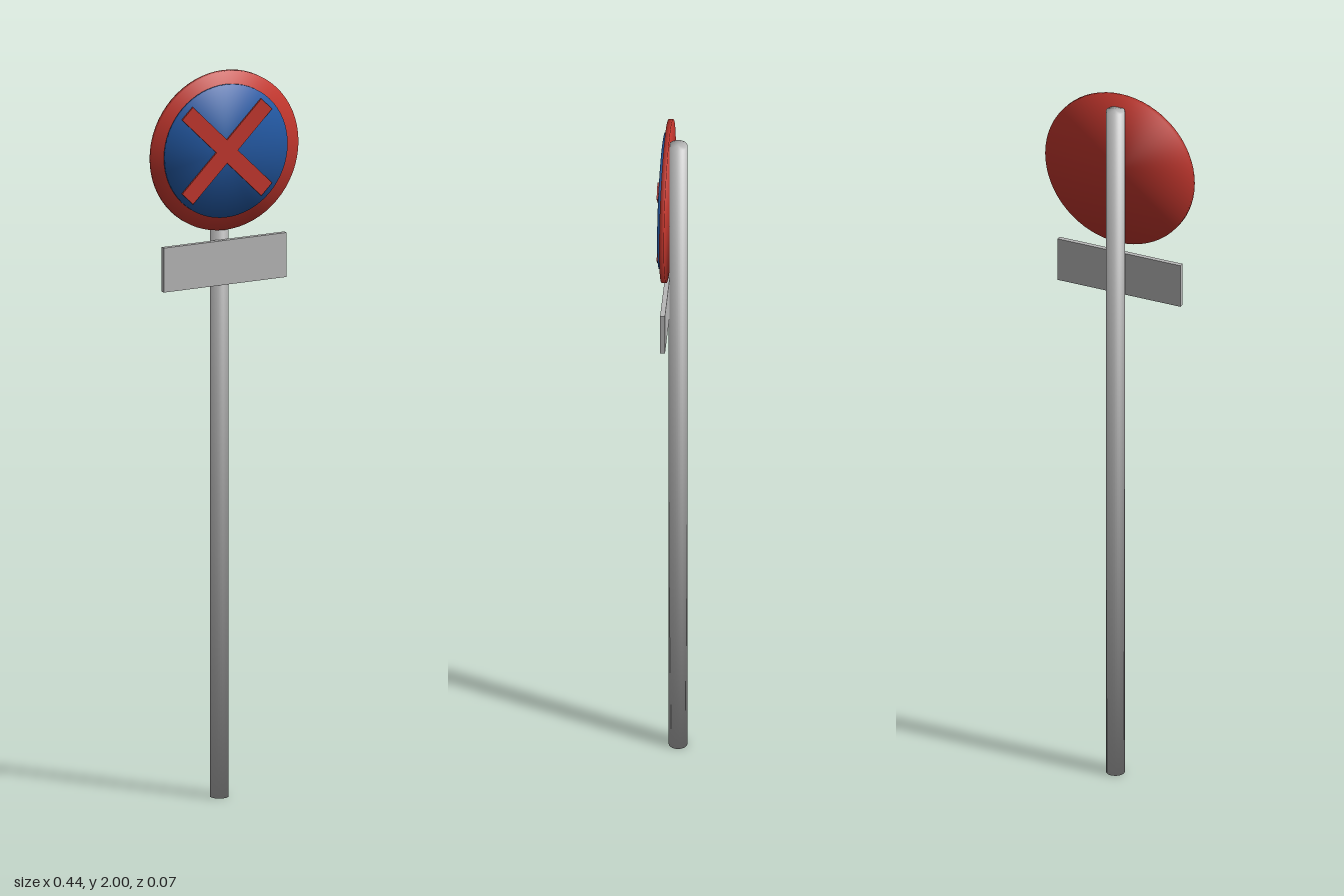
import * as THREE from 'three';

const mat = (name, color) => {
  const m = new THREE.MeshStandardMaterial({ color });
  m.name = name;
  return m;
};

// Cylinder whose rim normals blend softly between side and cap
function softCylinder(radius, height, sides) {
  const geo = new THREE.CylinderGeometry(radius, radius, height, sides);
  const p = geo.attributes.position, n = geo.attributes.normal;
  const v = new THREE.Vector3();
  for (let i = 0; i < p.count; i++) {
    v.set(p.getX(i) / radius, Math.sign(p.getY(i)), p.getZ(i) / radius).normalize();
    n.setXYZ(i, v.x, v.y, v.z);
  }
  return geo;
}

export function createModel() {
  const group = new THREE.Group();
  group.name = 'roadSign';
  const grey = mat('galvanised grey', 0xb8b8b8);
  const red = mat('sign red', 0xc1362d);
  const blue = mat('sign blue', 0x2257a0);

  const add = (name, geo, material, x, y, z) => {
    const mesh = new THREE.Mesh(geo, material);
    mesh.name = name;
    mesh.position.set(x, y, z);
    group.add(mesh);
    return mesh;
  };

  // Pole
  add('pole', softCylinder(0.025, 1.966, 32), grey, 0, 0.983, -0.0125);

  // Round sign: red backing disc with a raised blue face
  const signY = 1.782;
  const disc = (name, radius, z0, z1, material) =>
    add(name, softCylinder(radius, z1 - z0, 64).rotateX(Math.PI / 2), material, 0, signY, (z0 + z1) / 2);
  disc('signRim', 0.218, 0.009, 0.022, red);
  disc('signFace', 0.182, 0.022, 0.03, blue);

  // Diagonal cross, cut as one outline so the arms do not overlap
  const a = 0.0225, l = 0.166;
  const outline = [[a, a], [l, a], [l, -a], [a, -a], [a, -l], [-a, -l],
    [-a, -a], [-l, -a], [-l, a], [-a, a], [-a, l], [a, l]];
  const shape = new THREE.Shape(outline.map(([x, y]) => new THREE.Vector2(x, y)));
  const crossGeo = new THREE.ExtrudeGeometry(shape, { depth: 0.006, bevelEnabled: false });
  add('cross', crossGeo.rotateZ(Math.PI / 4), red, 0, signY, 0.029);

  // Blank plate under the sign
  add('lowerPlate', new THREE.BoxGeometry(0.364, 0.122, 0.013), grey, 0, 1.474, 0.0155);

  return group;
}
